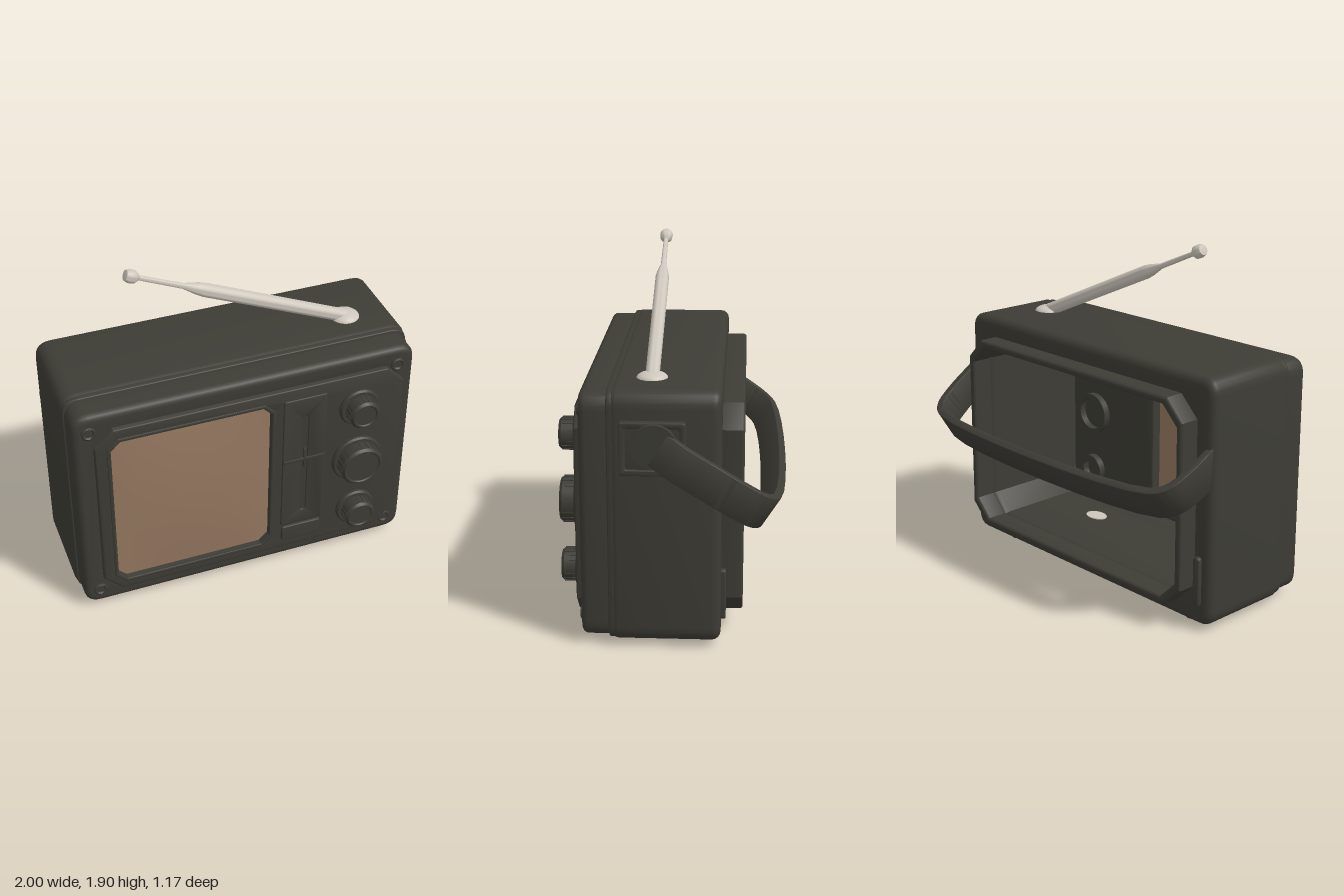
import * as THREE from 'three';
import { toCreasedNormals } from 'three/addons/utils/BufferGeometryUtils.js';

const mat = (name, color, side = THREE.FrontSide) => {
  const m = new THREE.MeshStandardMaterial({ color, side });
  m.name = name;
  return m;
};

export function createModel() {
  const dark = mat('dark olive casing', 0x3d3c35);
  const tan = mat('tan grille', 0x957860, THREE.DoubleSide);
  const metal = mat('pale metal', 0xcdc6bc);
  const root = new THREE.Group();
  root.name = 'portableRadio';

  const add = (name, geo, material = dark, parent = root) => {
    const mesh = new THREE.Mesh(geo, material);
    mesh.name = name;
    parent.add(mesh);
    return mesh;
  };

  // rectangle points with rounded or cut corners
  const rect = (x0, x1, y0, y1, r, round = true) => {
    const s = new THREE.Shape();
    const corner = (cx, cy, x, y) => (round ? s.quadraticCurveTo(cx, cy, x, y) : s.lineTo(x, y));
    s.moveTo(x0 + r, y0);
    s.lineTo(x1 - r, y0); corner(x1, y0, x1, y0 + r);
    s.lineTo(x1, y1 - r); corner(x1, y1, x1 - r, y1);
    s.lineTo(x0 + r, y1); corner(x0, y1, x0, y1 - r);
    s.lineTo(x0, y0 + r); corner(x0, y0, x0 + r, y0);
    return s.getPoints(6);
  };

  // bevelled plate between two depths, with optional holes
  const slabGeo = (pts, z0, z1, bevel, holes = []) => {
    const s = new THREE.Shape(pts);
    s.holes = holes.map((h) => new THREE.Path(h));
    const g = new THREE.ExtrudeGeometry(s, {
      depth: z1 - z0 - 2 * bevel, bevelEnabled: true, bevelSize: bevel,
      bevelThickness: bevel, bevelOffset: -bevel, bevelSegments: 4, curveSegments: 8,
    });
    g.translate(0, 0, z0 + bevel);
    return toCreasedNormals(g, 0.6);
  };
  const slab = (name, ...args) => add(name, slabGeo(...args));

  // turned part along +z from [radius, z] pairs
  const turned = (name, profile, x, y, material = dark) => {
    const g = new THREE.LatheGeometry(profile.map(([r, z]) => new THREE.Vector2(r, z)), 40);
    g.rotateX(Math.PI / 2);
    const mesh = add(name, toCreasedNormals(g, 0.6), material);
    mesh.position.set(x, y, 0);
    return mesh;
  };

  // hollow casing, open at the back
  const opening = rect(-0.85, 0.76, 0.17, 1.2, 0.1, false);
  slab('mainShell', rect(-1, 0.91, 0.027, 1.35, 0.09), -0.26, 0.3, 0.045, [opening]);
  slab('seamBead', rect(-0.995, 0.905, 0.032, 1.345, 0.09), 0.25, 0.305, 0.01, [opening]);
  slab('frontBezel', rect(-0.985, 0.89, 0.04, 1.33, 0.09), 0.24, 0.445, 0.035, [opening]);
  slab('backRim', rect(-0.89, 0.8, 0.13, 1.24, 0.11, false), -0.37, -0.24, 0.015, [opening]);

  // front panel and speaker
  const grilleHole = rect(-0.8, 0.07, 0.2, 1.16, 0.05, false);
  slab('frontPanel', rect(-0.88, 0.825, 0.13, 1.235, 0.1, false), 0.4, 0.475, 0.012, [grilleHole]);
  slab('grilleFrame', rect(-0.82, 0.09, 0.18, 1.18, 0.06, false), 0.46, 0.483, 0.006, [grilleHole]);
  slab('grilleBackFrame', rect(-0.84, 0.11, 0.18, 1.19, 0.08), 0.37, 0.41, 0.008,
    [rect(-0.78, 0.05, 0.22, 1.14, 0.1)]);
  const grille = new THREE.PlaneGeometry(0.89, 0.98, 20, 20);
  const p = grille.attributes.position;
  for (let i = 0; i < p.count; i++) {
    const u = p.getX(i) / 0.445, v = p.getY(i) / 0.49;
    p.setZ(i, 0.025 * (1 - u * u) * (1 - v * v));
  }
  grille.translate(-0.365, 0.68, 0.445);
  grille.computeVertexNormals();
  add('speakerGrille', grille, tan);

  // tuning scale
  slab('tuningPlate', rect(0.135, 0.38, 0.3, 1.17, 0.015), 0.465, 0.484, 0.005,
    [rect(0.243, 0.278, 0.39, 1.05, 0.017)]);
  slab('tuningPointer', rect(0.14, 0.375, 0.752, 0.768, 0.004), 0.47, 0.491, 0.003);
  slab('tuningNeedle', rect(0.254, 0.268, 0.7, 0.83, 0.004), 0.47, 0.491, 0.003);
  slab('bandButton', rect(0.14, 0.37, 0.19, 0.29, 0.015), 0.465, 0.49, 0.006);

  // knobs, their collars and the sockets inside
  for (const [x, y, r, c] of [[0.565, 1.03, 0.084, 0.112], [0.57, 0.675, 0.12, 0.144], [0.58, 0.315, 0.087, 0.112]]) {
    turned('knobCollar', [[c, 0.46], [c, 0.488], [c - 0.008, 0.498], [r, 0.498]], x, y);
    turned('knob', [[r, 0.46], [r, 0.56], [r - 0.012, 0.574], [r - 0.02, 0.574], [r - 0.025, 0.568], [0, 0.568]], x, y);
    turned('knobSocket', [[r - 0.025, 0.402], [r - 0.025, 0.36], [r, 0.36], [r, 0.402]], x, y);
    for (let i = 0; i < 20; i++) {
      const a = (i / 20) * Math.PI * 2;
      const rib = add('knobRib', new THREE.BoxGeometry(0.006, 0.012, 0.06));
      rib.position.set(x + Math.cos(a) * r, y + Math.sin(a) * r, 0.53);
      rib.rotation.z = a;
    }
  }

  // corner screws
  for (const x of [-0.9, 0.79]) {
    for (const y of [0.14, 1.23]) {
      turned('cornerScrew', [[0.038, 0.43], [0.038, 0.452], [0.03, 0.457], [0.022, 0.45], [0, 0.45]], x, y);
    }
  }

  // feet
  for (const x of [-0.79, 0.65]) {
    for (const z of [0.33, -0.16]) {
      const foot = add('foot', toCreasedNormals(new THREE.CylinderGeometry(0.06, 0.035, 0.04, 20), 0.6));
      foot.position.set(x, 0.02, z);
    }
  }

  // rear clips beside the rim
  for (const x of [-0.92, 0.83]) {
    slab('rearClip', rect(x - 0.02, x + 0.02, 0.14, 0.41, 0.019), -0.285, -0.25, 0.007);
  }

  // handle mount on the side
  const mount = new THREE.Group();
  mount.name = 'handleMount';
  root.add(mount);
  const plate = slabGeo(rect(-0.24, 0.085, 0.935, 1.205, 0.015), 0.89, 0.935, 0.006);
  plate.rotateY(Math.PI / 2);
  add('mountPlate', plate, dark, mount);
  const frame = slabGeo(rect(-0.24, 0.085, 0.935, 1.205, 0.015), 0.92, 0.948, 0.005,
    [rect(-0.21, 0.055, 0.965, 1.175, 0.015)]);
  frame.rotateY(Math.PI / 2);
  add('mountFrame', frame, dark, mount);
  const pivot = new THREE.CylinderGeometry(0.112, 0.112, 0.065, 36);
  pivot.rotateZ(Math.PI / 2);
  add('handlePivot', toCreasedNormals(pivot, 0.6), dark, mount).position.set(0.941, 1.09, 0.07);

  // swinging band handle, swept from its centre line
  const path = new THREE.CatmullRomCurve3([
    [0.945, -0.03], [0.955, 0.05], [0.978, 0.14], [0.972, 0.3], [0.962, 0.48], [0.93, 0.6], [0.84, 0.66],
    [-0.82, 0.66], [-0.91, 0.6], [-0.95, 0.48], [-0.968, 0.3],
  ].map(([x, s]) => new THREE.Vector3(x, s, 0)), false, 'centripetal');
  const outer = [], inner = [];
  for (let i = 0; i <= 80; i++) {
    const c = path.getPoint(i / 80), t = path.getTangent(i / 80);
    outer.push(new THREE.Vector2(c.x + t.y * 0.022, c.y - t.x * 0.022));
    inner.unshift(new THREE.Vector2(c.x - t.y * 0.022, c.y + t.x * 0.022));
  }
  const handle = slab('carryHandle', [...outer, ...inner], -0.0925, 0.0925, 0.006);
  handle.position.set(0, 1.09, 0.07);
  handle.rotation.x = -2.14;

  // telescopic antenna
  const antenna = new THREE.Group();
  antenna.name = 'antenna';
  root.add(antenna);
  const base = add('antennaBase', new THREE.SphereGeometry(0.08, 32, 16), metal, antenna);
  base.scale.y = 0.45;
  base.position.set(0.635, 1.345, 0.095);
  const rodProfile = [[0, 0], [0.036, 0], [0.037, 0.9], [0.032, 0.94], [0.015, 1.02], [0.013, 1.27],
    [0.022, 1.28], [0.034, 1.295], [0.036, 1.325], [0.028, 1.345], [0, 1.35]];
  const rod = add('antennaRod', toCreasedNormals(
    new THREE.LatheGeometry(rodProfile.map(([r, y]) => new THREE.Vector2(r, y)), 24), 0.7), metal, antenna);
  rod.position.set(0.66, 1.34, 0.095);
  rod.rotation.z = Math.atan2(1.22, 0.53);

  // metal plug through the floor
  const plug = add('floorPlug', new THREE.CylinderGeometry(0.07, 0.07, 0.153, 28), metal);
  plug.scale.z = 0.7;
  plug.position.set(0.26, 0.0985, 0.12);

  return root;
}
